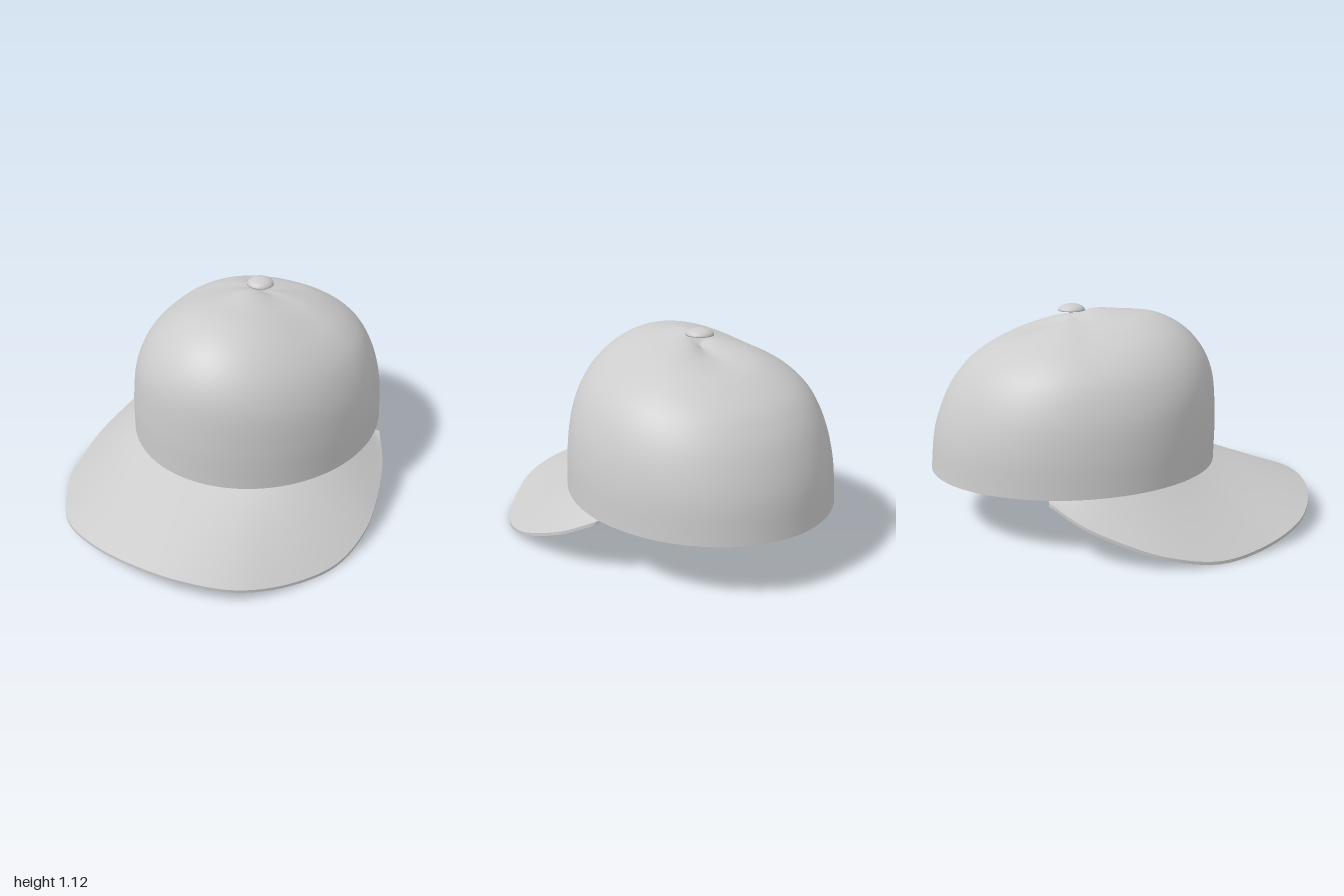
import * as THREE from 'three';
import { mergeVertices } from 'three/addons/utils/BufferGeometryUtils.js';

const fabric = new THREE.MeshStandardMaterial({ color: 0xcccccc, side: THREE.DoubleSide });
fabric.name = 'grey fabric';

const CENTRE_Z = -0.255, RX = 0.66, RZ = 0.745;

// Smooth surface through rows of points; seams and poles are welded
function skin(rows) {
  const cols = rows[0].length, index = [];
  for (let i = 0; i < rows.length - 1; i++) {
    for (let j = 0; j < cols - 1; j++) {
      const a = i * cols + j, b = a + 1, c = b + cols, d = a + cols;
      index.push(a, b, c, a, c, d);
    }
  }
  let geometry = new THREE.BufferGeometry().setFromPoints(rows.flat());
  geometry.setIndex(index);
  geometry = mergeVertices(geometry, 1e-5);
  geometry.computeVertexNormals();
  return geometry;
}

function part(name, geometry) {
  const mesh = new THREE.Mesh(geometry, fabric);
  mesh.name = name;
  return mesh;
}

const spline = (pts) => new THREE.CatmullRomCurve3(
  pts.map(([x, y, z = 0]) => new THREE.Vector3(x, y, z)), false, 'centripetal');

// Crown: front, side and back profiles (relative radius, height) blended round the head
function crownGeometry() {
  const front = spline([[1, 0.31], [1.005, 0.55], [0.98, 0.77], [0.913, 0.89], [0.785, 0.997],
    [0.604, 1.067], [0.39, 1.088], [0.11, 1.094], [0, 1.04]]);
  const side = spline([[1, 0.3], [0.985, 0.5], [0.94, 0.66], [0.84, 0.81], [0.7, 0.91],
    [0.5, 0.99], [0.3, 1.04], [0.1, 1.06], [0, 1.04]]);
  const back = spline([[1, 0.29], [0.963, 0.504], [0.87, 0.69], [0.78, 0.79], [0.69, 0.858],
    [0.476, 0.954], [0.3, 0.99], [0.1, 1.02], [0, 1.04]]);
  const rows = [], rings = 48, segments = 96;
  for (let i = 0; i <= rings; i++) {
    const t = i / rings, s = side.getPoint(t), f = front.getPoint(t), b = back.getPoint(t);
    const row = [];
    for (let j = 0; j <= segments; j++) {
      const a = (j / segments) * Math.PI * 2, c = Math.cos(a);
      const p = s.clone().lerp(c > 0 ? f : b, c * c);
      row.push(new THREE.Vector3(RX * p.x * Math.sin(a), p.y, CENTRE_Z + RZ * p.x * c));
    }
    rows.push(row);
  }
  return skin(rows);
}

// Brim: curved plate between the crown's base and a drooping outer edge
function brim() {
  const half = [[0, 0.14, 1], [0.26, 0.125, 0.965], [0.5, 0.085, 0.85], [0.68, 0.04, 0.64],
    [0.81, 0.025, 0.38], [0.847, 0.07, 0.13], [0.825, 0.125, -0.05], [0.76, 0.21, -0.265],
    [0.667, 0.295, -0.418]];
  const mirrored = half.slice(1).reverse().map(([x, y, z]) => [-x, y, z]);
  const edge = spline([...mirrored, ...half]);
  const reach = Math.acos((-0.418 - CENTRE_Z) / RZ);
  const steps = 96, across = 8, thickness = 0.016;
  const top = Array.from({ length: across + 1 }, () => []);
  for (let j = 0; j <= steps; j++) {
    const u = j / steps, a = (2 * u - 1) * reach;
    const outer = edge.getPoint(u);
    const inner = new THREE.Vector3(
      RX * Math.sin(a), 0.311 - 0.012 * (2 * u - 1) ** 2, CENTRE_Z + RZ * Math.cos(a));
    for (let i = 0; i <= across; i++) top[i].push(outer.clone().lerp(inner, i / across));
  }
  const lower = (row) => row.map((p) => new THREE.Vector3(p.x, p.y - thickness, p.z));
  const rim = [top[across][0], ...top[0], top[across][steps]];
  const group = new THREE.Group();
  group.name = 'brim';
  group.add(
    part('brimTop', skin(top)),
    part('brimUnderside', skin(top.map(lower).reverse())),
    part('brimEdge', skin([lower(rim), rim])));
  return group;
}

// Button: flat-bottomed dome on top of the crown
function buttonGeometry() {
  const profile = [new THREE.Vector2(0, -0.003), new THREE.Vector2(0.05, -0.003)];
  for (let i = 0; i <= 12; i++) {
    const a = (i / 12) * Math.PI / 2;
    profile.push(new THREE.Vector2(0.07 * Math.cos(a), 0.034 * Math.sin(a)));
  }
  return new THREE.LatheGeometry(profile, 32);
}

export function createModel() {
  const cap = new THREE.Group();
  cap.name = 'cap';
  const button = part('button', buttonGeometry());
  button.position.set(0, 1.092, CENTRE_Z);
  cap.add(part('crown', crownGeometry()), brim(), button);
  return cap;
}
